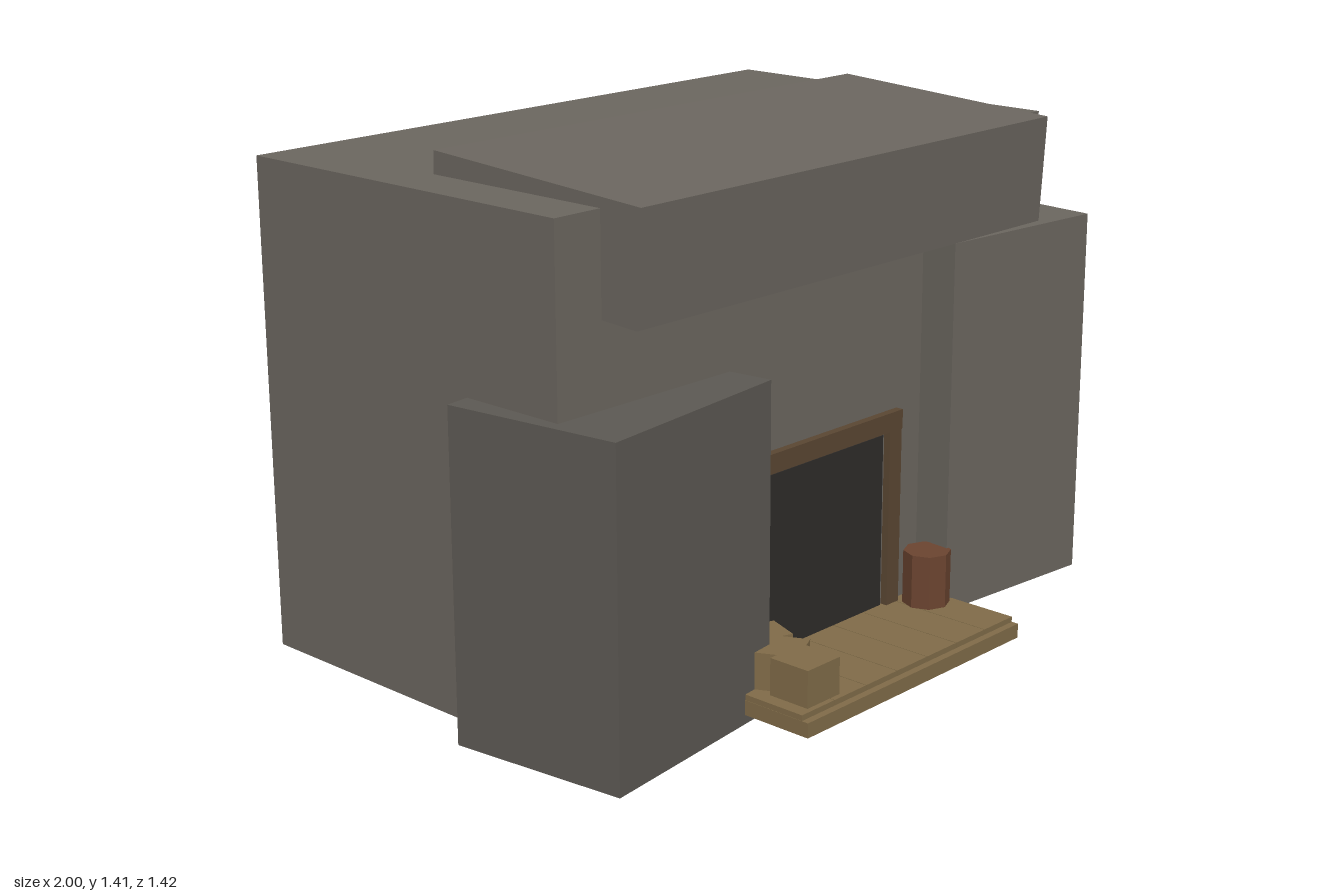
import * as THREE from 'three';

const material = (color) => new THREE.MeshStandardMaterial({ color, flatShading: true });
const stone = material(0x6b665f);
const darkStone = material(0x5c5953);
const black = material(0x2e2b29);
const timber = material(0x5a4632);
const plankWood = material(0x806b48);
const rust = material(0x6b4430);

export function createModel() {
  const model = new THREE.Group();

  const add = (name, geometry, mat, x, y, z) => {
    const mesh = new THREE.Mesh(geometry, mat);
    mesh.name = name;
    mesh.position.set(x, y, z);
    model.add(mesh);
    return mesh;
  };
  // Box given by its centre in x and z, and its lower and upper height
  const block = (name, mat, w, d, y0, y1, x, z, turn = 0) => {
    const mesh = add(name, new THREE.BoxGeometry(w, y1 - y0, d), mat, x, (y0 + y1) / 2, z);
    mesh.rotation.y = turn;
    return mesh;
  };

  // Main body, leaning roof slab and the two turned flanking blocks
  block('mainBody', stone, 1.86, 1.08, 0.025, 1.35, 0, -0.17);
  const slab = block('roofSlab', stone, 1.57, 0.7, 1.1, 1.39, 0, 0.1425);
  slab.rotation.x = 0.057;
  block('rightFlankBlock', darkStone, 0.614, 0.5, 0, 0.87, -0.665, 0.281, 0.12);
  block('leftFlankBlock', stone, 0.542, 0.537, 0.045, 1.08, 0.705, 0.24, -0.09);

  // Doorway: dark opening inside a timber frame
  block('doorOpening', black, 0.52, 0.06, 0.03, 0.565, 0, 0.345);
  for (const side of [-1, 1]) {
    block('doorPost', timber, 0.05, 0.1, 0.018, 0.58, side * 0.295, 0.34);
  }
  block('doorLintel', timber, 0.64, 0.105, 0.575, 0.628, 0, 0.34);

  // Porch: base with a row of planks
  block('porchBase', plankWood, 0.87, 0.36, 0.025, 0.065, 0, 0.53);
  const pitch = 0.87 / 7;
  for (let i = 0; i < 7; i++) {
    block('porchPlank', plankWood, pitch - 0.002, 0.34, 0.06, 0.08, (i - 3) * pitch, 0.52);
  }

  // Crates stacked at one side, barrel at the other
  block('frontCrate', plankWood, 0.122, 0.122, 0.08, 0.18, -0.335, 0.614);
  block('middleCrate', plankWood, 0.122, 0.115, 0.08, 0.179, -0.316, 0.522, 0.46);
  block('backCrate', plankWood, 0.1, 0.1, 0.08, 0.178, -0.266, 0.425, -0.35);
  add('barrel', new THREE.CylinderGeometry(0.065, 0.065, 0.15, 8), rust, 0.367, 0.155, 0.45);

  return model;
}
